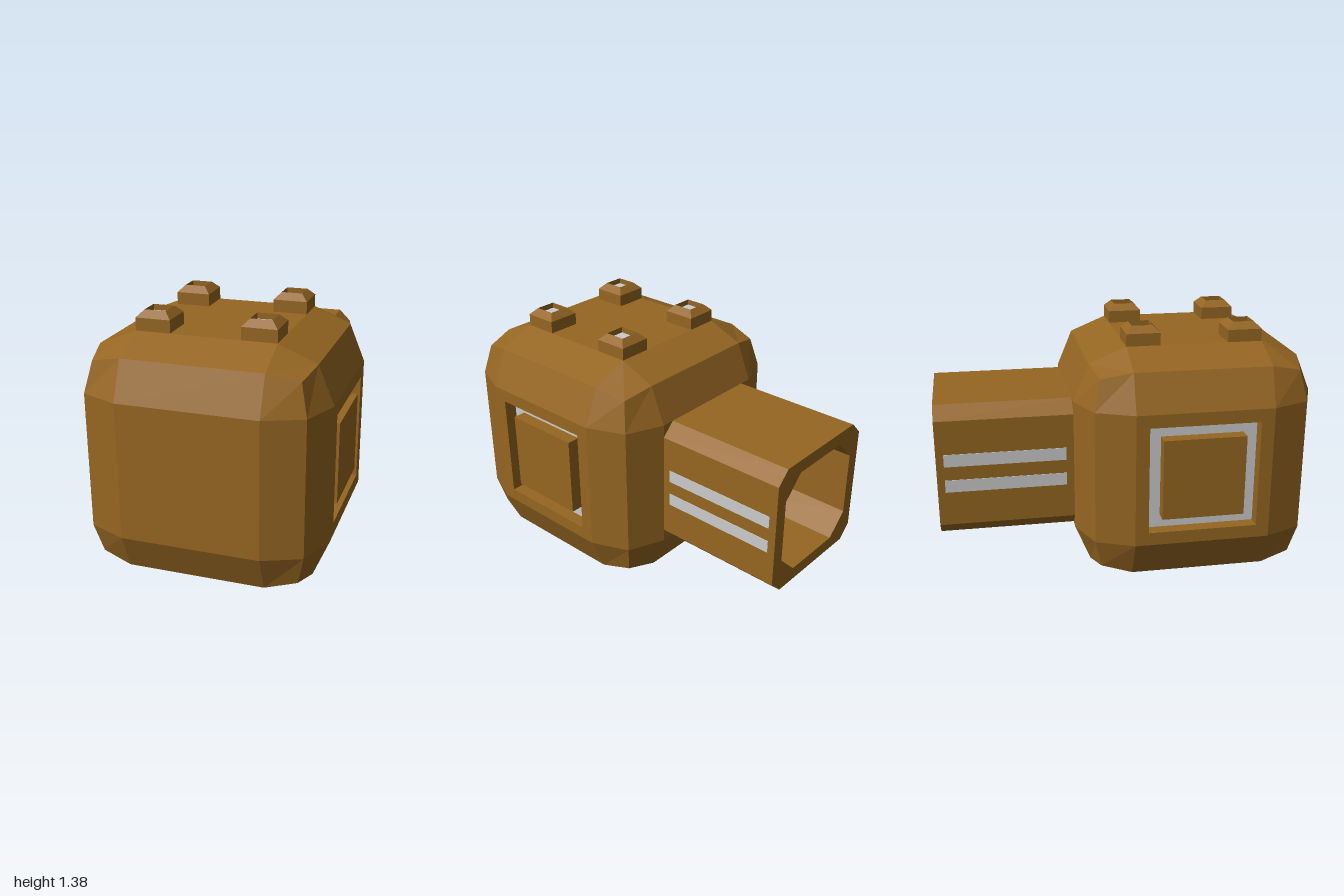
import * as THREE from 'three';
import { RoundedBoxGeometry } from 'three/addons/geometries/RoundedBoxGeometry.js';

const SIDES = [-1, 1];
const brown = new THREE.MeshStandardMaterial({ color: 0x966622, flatShading: true });
const grey = new THREE.MeshStandardMaterial({ color: 0xcccccc, flatShading: true });

function add(parent, name, geometry, material, x = 0, y = 0, z = 0) {
  const mesh = new THREE.Mesh(geometry, material);
  mesh.name = name;
  mesh.position.set(x, y, z);
  parent.add(mesh);
  return mesh;
}

// Square of half width h with its corners cut off by c
function cutSquare(h, c, Type = THREE.Shape) {
  const k = h - c;
  const corners = c > 0
    ? [[-k, -h], [k, -h], [h, -k], [h, k], [k, h], [-k, h], [-h, k], [-h, -k]]
    : [[-h, -h], [h, -h], [h, h], [-h, h]];
  return new Type(corners.map(([x, y]) => new THREE.Vector2(x, y)));
}

function ring(outer, outerCut, inner, innerCut, depth) {
  const shape = cutSquare(outer, outerCut);
  shape.holes.push(cutSquare(inner, innerCut, THREE.Path));
  return new THREE.ExtrudeGeometry(shape, { depth, bevelEnabled: false });
}

// Faceted rounded cube, left open on its two flat side faces
function openCube(size, radius) {
  const p = new RoundedBoxGeometry(size, size, size, 1, radius).toNonIndexed().attributes.position;
  const kept = [];
  for (let i = 0; i < p.count; i += 3) {
    const onSide = [0, 1, 2].every((j) => Math.abs(p.getX(i + j)) > size / 2 - 0.001);
    if (onSide) continue;
    for (let j = i; j < i + 3; j++) kept.push(p.getX(j), p.getY(j), p.getZ(j));
  }
  const geometry = new THREE.BufferGeometry();
  geometry.setAttribute('position', new THREE.Float32BufferAttribute(kept, 3));
  geometry.computeVertexNormals();
  return geometry;
}

// Stud with a sloped rim and a sunken grey centre
function createStud() {
  const stud = new THREE.Group();
  stud.name = 'stud';
  const profile = [[0.09, 0], [0.09, 0.065], [0.055, 0.1], [0.055, 0.07]]
    .map(([r, y]) => new THREE.Vector2(r * Math.SQRT2, y));
  add(stud, 'studShell', new THREE.LatheGeometry(profile, 4, Math.PI / 4), brown);
  const cap = new THREE.PlaneGeometry(0.11, 0.11).rotateX(-Math.PI / 2);
  add(stud, 'studCentre', cap, grey, 0, 0.07, 0);
  return stud;
}

// Side face with a square groove around a flush panel
function createSidePanel() {
  const panel = new THREE.Group();
  panel.name = 'sidePanel';
  add(panel, 'panelFrame', ring(0.36, 0, 0.29, 0, 0.07), brown, 0, 0, -0.07);
  add(panel, 'grooveFloor', new THREE.PlaneGeometry(0.58, 0.58), grey, 0, 0, -0.07);
  add(panel, 'panelBlock', new THREE.BoxGeometry(0.436, 0.436, 0.07), brown, 0, 0, -0.035);
  return panel;
}

export function createModel() {
  const model = new THREE.Group();
  model.name = 'hammerHead';

  // Main block
  add(model, 'body', openCube(1.28, 0.28), brown, 0, 0.64, 0.36);

  // Grooved panels on both sides
  for (const s of SIDES) {
    const panel = createSidePanel();
    panel.position.set(s * 0.64, 0.64, 0.36);
    panel.rotation.y = s * Math.PI / 2;
    model.add(panel);
  }

  // Four studs on top
  for (const s of SIDES) {
    for (const z of [0.088, 0.628]) {
      const stud = createStud();
      stud.position.set(s * 0.27, 1.28, z);
      model.add(stud);
    }
  }

  // Hollow socket at the back
  add(model, 'socket', ring(0.36, 0.07, 0.29, 0.115, 0.72), brown, 0, 0.64, -1);

  // Two stripes on each side of the socket
  for (const s of SIDES) {
    for (const y of [0.57, 0.713]) {
      add(model, 'socketStripe', new THREE.BoxGeometry(0.006, 0.068, 0.64), grey, s * 0.36, y, -0.64);
    }
  }
  return model;
}
